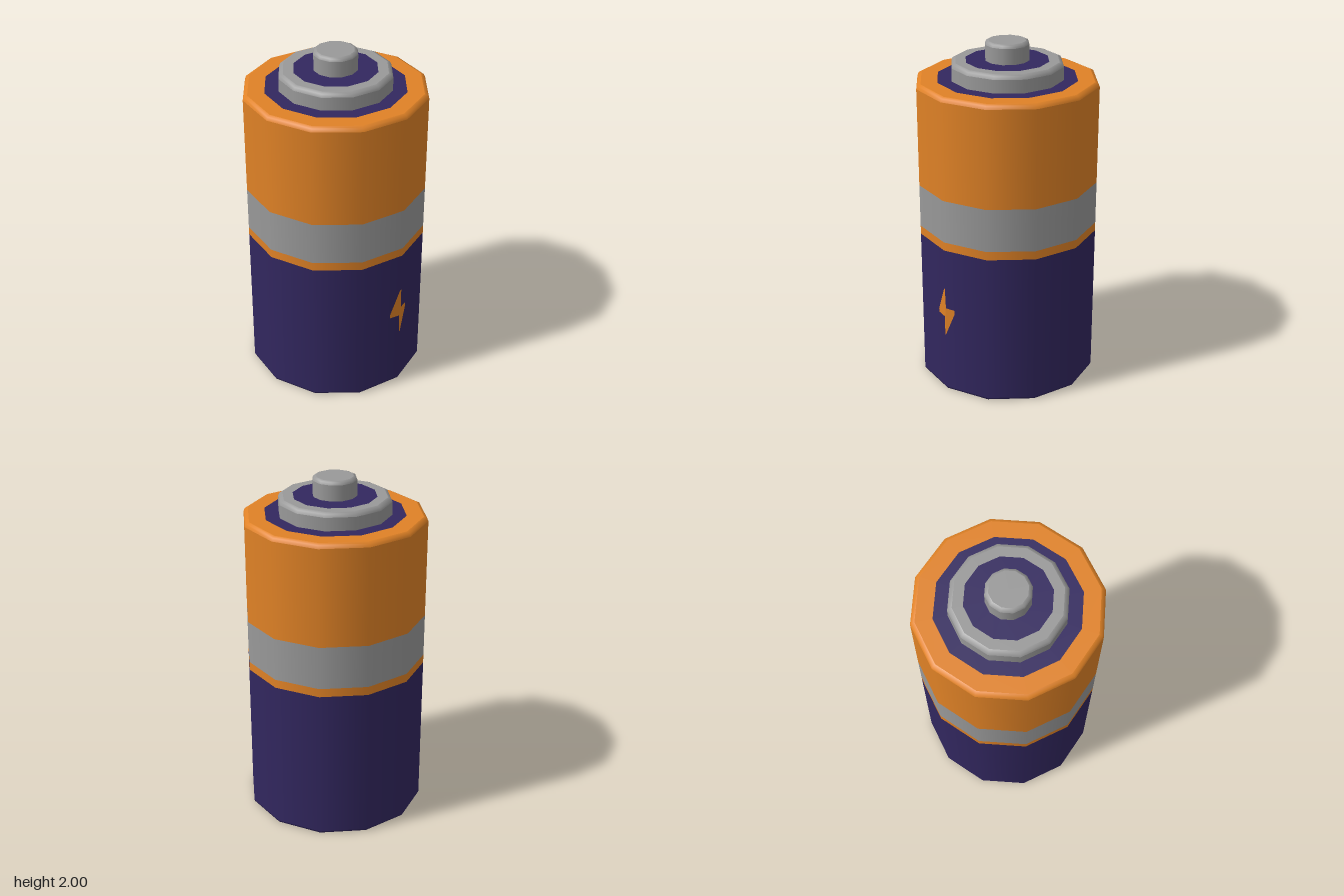
import * as THREE from 'three';

const mat = (name, color) => new THREE.MeshStandardMaterial({ name, color });

export function createModel() {
  const model = new THREE.Group();
  model.name = 'battery';
  const orange = mat('orange', 0xe08226);
  const navy = mat('navy', 0x32275f);
  const grey = mat('grey', 0x999999);
  const SIDES = 12, R = 0.52;

  // Revolved band; profile runs upward outside and inward across the top.
  function band(name, material, points) {
    const profile = points.map(([r, y]) => new THREE.Vector2(r, y));
    const mesh = new THREE.Mesh(new THREE.LatheGeometry(profile, SIDES), material);
    mesh.name = name;
    model.add(mesh);
  }
  // Rounded shoulder: wall, bevel and flat rim as separate bands
  function cap(name, material, r, inner, y0, y1, b) {
    band(name + 'Wall', material, [[r, y0], [r, y1 - b]]);
    band(name + 'Bevel', material, [[r, y1 - b], [r - b * 0.3, y1 - b * 0.3], [r - b, y1]]);
    band(name + 'Top', material, [[r - b, y1], [inner, y1]]);
  }

  // Case
  band('baseDisc', grey, [[0, 0], [0.505, 0]]);
  band('lowerBevel', navy, [[0.505, 0], [0.516, 0.004], [R, 0.015]]);
  band('lowerCase', navy, [[R, 0.015], [R, 0.9]]);
  band('thinStripe', orange, [[R, 0.9], [R, 0.95]]);
  band('wideStripe', grey, [[R, 0.95], [R, 1.2]]);
  cap('upperCase', orange, R, 0.4, 1.2, 1.79, 0.025);

  // Terminal
  band('insulatorRing', navy, [[0.4, 1.79], [0.3, 1.79]]);
  cap('collar', grey, 0.32, 0.237, 1.79, 1.89, 0.025);
  band('collarInset', navy, [[0.237, 1.89], [0.1, 1.89]]);
  cap('terminal', grey, 0.125, 0, 1.89, 2, 0.02);

  // Bolt mark, folded over the front edge of the case
  const halves = [
    [[0, 0.665], [-0.01, 0.655], [-0.07, 0.505], [-0.068, 0.483], [-0.008, 0.481], [-0.006, 0.36], [0, 0.365]],
    [[0, 0.365], [0.057, 0.508], [0.059, 0.535], [0.004, 0.537], [0, 0.66]],
  ];
  const bolt = new THREE.Group();
  bolt.name = 'boltMark';
  for (const pts of halves) {
    const geo = new THREE.ShapeGeometry(new THREE.Shape(pts.map(([x, y]) => new THREE.Vector2(x, y))));
    const p = geo.attributes.position;
    for (let i = 0; i < p.count; i++) p.setZ(i, R + 0.002 - Math.abs(p.getX(i)) * Math.tan(Math.PI / SIDES));
    geo.computeVertexNormals();
    const half = new THREE.Mesh(geo, orange);
    half.name = 'boltHalf';
    bolt.add(half);
  }
  model.add(bolt);
  return model;
}
